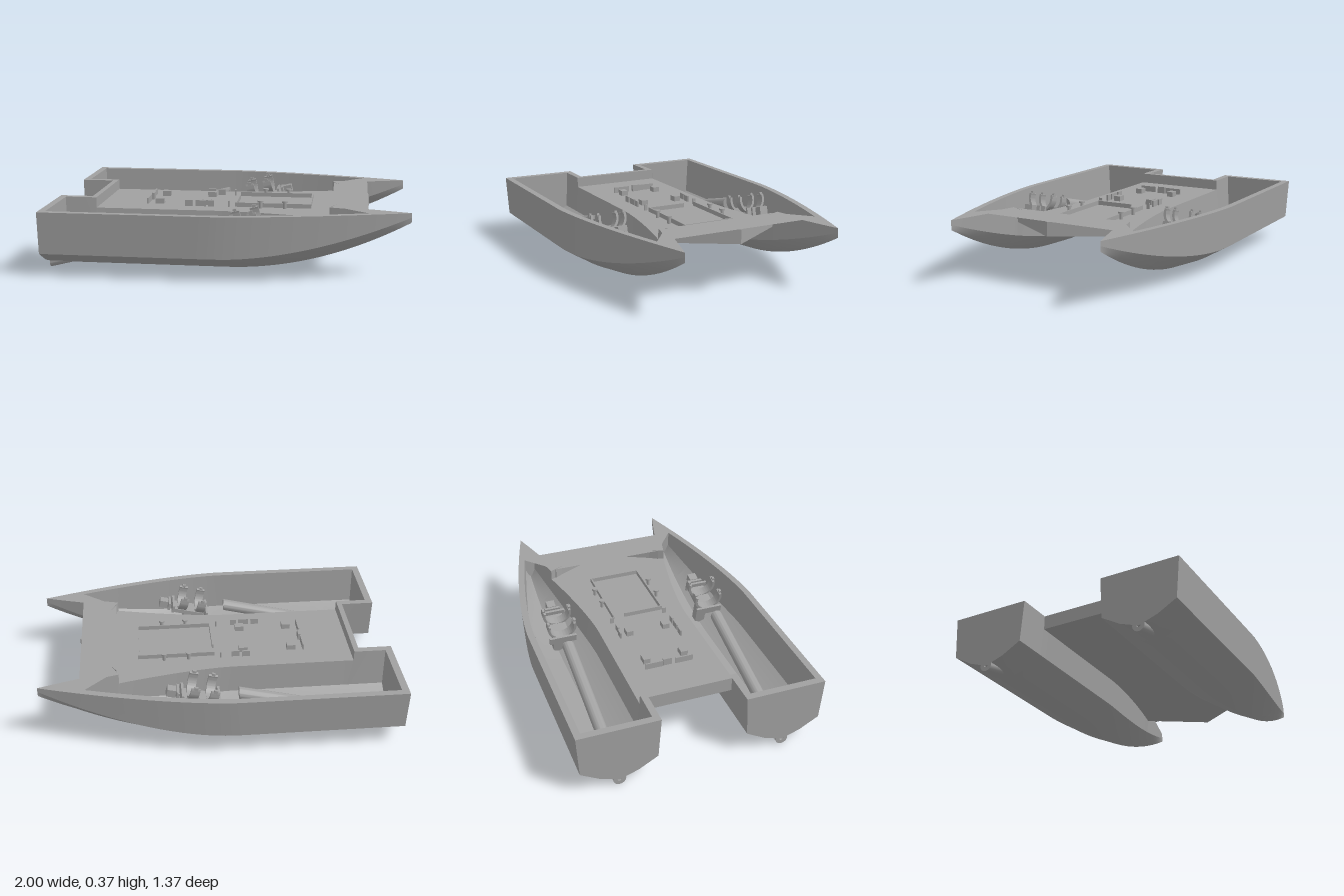
import * as THREE from 'three';
import { toCreasedNormals } from 'three/addons/utils/BufferGeometryUtils.js';

const TOP = 0.365, FLOOR = 0.305, UNDER = 0.285, AXIS = 0.46, SLOPE = 0.25;
const grey = new THREE.MeshStandardMaterial({ color: 0xa0a0a0, side: THREE.DoubleSide });
grey.name = 'hull grey';

// half beam of one hull at deck level, outside and inside its wall
const outerHalf = x => 0.225 * (1 - Math.pow(Math.max(0, (x + 0.08) / 1.08), 1.5));
const innerHalf = x => outerHalf(x) - 0.037;
const OUTER = { half: outerHalf, stern: -1, tip: 1, rear: -0.81, notch: 0.57, nose: 0.78, low: UNDER, lift: 0 };
const INNER = { half: innerHalf, stern: -0.96, tip: 0.77, rear: -0.78, notch: 0.56, nose: 0.74, low: FLOOR, lift: 0.025 };

function add(parent, name, geometry, x = 0, y = 0, z = 0) {
  const mesh = new THREE.Mesh(geometry, grey);
  mesh.name = name;
  mesh.position.set(x, y, z);
  parent.add(mesh);
  return mesh;
}

function range(a, b, n) {
  return Array.from({ length: n + 1 }, (_, i) => a + (b - a) * i / n);
}

// cross-section from outboard deck edge, under the keel, to inboard deck edge
function section(k, x, low, side) {
  const t = Math.max(0, x);
  const w = k.half(x), c = w * 0.935;
  const keel = 0.032 + 0.28 * t * t + k.lift;
  const chine = Math.max(keel, 0.13 + 0.21 * Math.pow(t, 1.8) + k.lift * 0.5);
  const mid = (keel + chine) / 2 - 0.12 * (chine - keel);
  return [[w, TOP], [c, chine], [c / 2, mid], [0, keel], [-c / 2, mid], [-c, chine], [-w, low ? k.low : TOP]]
    .map(([z, y]) => new THREE.Vector3(x, y, side * (AXIS + z)));
}

// surface through rows of points, smooth within itself
function loft(rows) {
  const n = rows[0].length, index = [];
  for (let i = 0; i < rows.length - 1; i++) {
    for (let j = 0; j < n - 1; j++) {
      const a = i * n + j, b = a + n;
      index.push(a, b, a + 1, b, b + 1, a + 1);
    }
  }
  const g = new THREE.BufferGeometry().setFromPoints(rows.flat());
  g.setIndex(index);
  g.computeVertexNormals();
  return g;
}

function buildShell(parent, k, side, label) {
  const stations = [
    ...range(k.stern, k.rear, 2).map(x => [x, false]),
    ...range(k.rear, k.notch, 24).map(x => [x, true]),
    ...range(k.notch, k.tip, 14).map(x => [x, false])];
  const rows = stations.map(([x, low]) => section(k, x, low, side));
  const strips = [['OutboardSide', 0, 2], ['OutboardBottom', 1, 4], ['InboardBottom', 3, 6], ['InboardSide', 5, 7]];
  for (const [name, a, b] of strips) add(parent, label + name, loft(rows.map(r => r.slice(a, b))));
  // flat bulkheads closing both ends
  for (const [name, row] of [['Transom', rows[0]], ['BowBulkhead', rows[rows.length - 1]]]) {
    const shape = new THREE.Shape(row.map(p => new THREE.Vector2(-p.z, p.y)));
    add(parent, label + name, new THREE.ShapeGeometry(shape).rotateY(Math.PI / 2), row[0].x);
  }
}

// half of the deck outline (z > 0), from stern notch to nose
function outline(k) {
  const v = (x, z) => new THREE.Vector2(x, z);
  const half = [
    v(k.rear, AXIS - k.half(k.rear)), v(k.stern, AXIS - k.half(k.stern)), v(k.stern, AXIS + k.half(k.stern)),
    ...range(-0.08, k.tip, 24).map(x => v(x, AXIS + k.half(x))),
    ...range(k.tip, k.notch, 10).slice(k.tip === 1 ? 1 : 0).map(x => v(x, AXIS - k.half(x))),
    v(k.nose, 0)];
  return [...half, ...half.slice(0, -1).reverse().map(p => v(p.x, -p.y))];
}

// bridge plate between the two hulls
function bridgePlate(k) {
  const edge = range(k.rear, k.notch, 24).map(x => new THREE.Vector2(x, AXIS - k.half(x)));
  const mirror = edge.map(p => new THREE.Vector2(p.x, -p.y)).reverse();
  return new THREE.ShapeGeometry(new THREE.Shape([...edge, new THREE.Vector2(k.nose, 0), ...mirror]))
    .rotateX(Math.PI / 2);
}

function buildBridge(parent, k, label) {
  add(parent, label + 'Plate', bridgePlate(k), 0, k.low, 0);
  const zr = AXIS - k.half(k.rear), zn = AXIS - k.half(k.notch);
  const walls = [['RearWall', k.rear, -zr, k.rear, zr], ['FrontWallLeft', k.notch, zn, k.nose, 0],
    ['FrontWallRight', k.nose, 0, k.notch, -zn]];
  for (const [name, x0, z0, x1, z1] of walls) {
    add(parent, label + name, loft([k.low, TOP].map(y =>
      [new THREE.Vector3(x0, y, z0), new THREE.Vector3(x1, y, z1)])));
  }
}

// sloping shaft tube with ends cut upright
function shaftTube() {
  const shape = new THREE.Shape().absarc(0, 0, 0.035, 0, Math.PI * 2);
  shape.holes.push(new THREE.Path().absarc(0, 0, 0.012, 0, Math.PI * 2, true));
  const g = new THREE.ExtrudeGeometry(shape, { depth: 0.9, bevelEnabled: false, curveSegments: 16 });
  g.rotateY(Math.PI / 2);
  const p = g.attributes.position;
  for (let i = 0; i < p.count; i++) p.setY(i, p.getY(i) + p.getX(i) * SLOPE);
  return toCreasedNormals(g, 0.6);
}

// upward-opening clamp band
function cradle() {
  const shape = new THREE.Shape();
  shape.absarc(0, 0, 0.085, -Math.PI - 0.3, 0.3, false);
  shape.absarc(0, 0, 0.071, 0.3, -Math.PI - 0.3, true);
  const g = new THREE.ExtrudeGeometry(shape, { depth: 0.05, bevelEnabled: false, curveSegments: 20 });
  return toCreasedNormals(g.translate(0, 0, -0.025).rotateY(Math.PI / 2), 0.6);
}

function buildMotorMount(parent, z) {
  const mount = new THREE.Group();
  mount.name = 'motorMount';
  mount.position.set(0.1, 0.325, z);
  mount.rotation.z = Math.atan(SLOPE);
  parent.add(mount);
  for (const x of [-0.06, 0.05]) {
    add(mount, 'cradle', cradle(), x);
    for (const s of [-1, 1]) add(mount, 'clampTab', new THREE.BoxGeometry(0.02, 0.02, 0.014), x, 0.025, s * 0.078);
  }
  add(mount, 'spine', new THREE.BoxGeometry(0.2, 0.025, 0.1), 0.01, -0.085);
  add(mount, 'foot', new THREE.BoxGeometry(0.05, 0.19, 0.06), 0, -0.17);
  for (const [x, w] of [[-0.105, 0.16], [0.105, 0.13], [0.13, 0.09], [0.165, 0.05]]) {
    add(mount, 'flange', new THREE.BoxGeometry(w < 0.06 ? 0.05 : 0.014, 0.045, w), x, -0.07);
  }
}

// trays, posts and brackets standing on the bridge floor: [x, z, length, width, height]
const fittings = {
  trayWall: [[0.23, -0.15, 0.44, 0.008, 0.025], [0.23, 0.15, 0.44, 0.008, 0.025],
    [0.446, 0, 0.008, 0.3, 0.025], [0.014, 0.035, 0.008, 0.23, 0.025]],
  mountBlock: [[-0.44, -0.115, 0.05, 0.04, 0.03], [-0.44, 0.105, 0.05, 0.04, 0.03],
    [-0.16, -0.115, 0.05, 0.04, 0.03], [-0.16, 0.105, 0.05, 0.04, 0.03]],
  bracket: [[-0.51, -0.09, 0.008, 0.1, 0.035], [-0.51, 0.085, 0.008, 0.1, 0.035], [-0.503, -0.013, 0.015, 0.05, 0.04],
    [-0.17, -0.172, 0.045, 0.01, 0.035], [-0.11, -0.167, 0.045, 0.01, 0.035],
    [-0.26, 0.16, 0.045, 0.01, 0.035], [-0.19, 0.16, 0.06, 0.008, 0.035], [-0.13, 0.16, 0.035, 0.01, 0.035],
    [-0.025, -0.17, 0.008, 0.02, 0.035], [-0.025, 0.155, 0.008, 0.02, 0.035]],
};

export function createModel() {
  const model = new THREE.Group();
  model.name = 'catamaranHull';

  for (const side of [1, -1]) {
    const hull = new THREE.Group();
    hull.name = side > 0 ? 'leftHull' : 'rightHull';
    model.add(hull);
    buildShell(hull, OUTER, side, 'outer');
    buildShell(hull, INNER, side, 'inner');
    add(hull, 'shaftTube', shaftTube(), -1, 0.036, side * AXIS);
    buildMotorMount(hull, side * AXIS);
  }

  // flat rim capping the walls
  const rim = new THREE.Shape(outline(OUTER));
  rim.holes.push(new THREE.Path(outline(INNER)));
  add(model, 'rim', new THREE.ShapeGeometry(rim).rotateX(Math.PI / 2), 0, TOP, 0);

  buildBridge(model, OUTER, 'bridgeUnderside');
  buildBridge(model, INNER, 'bridgeFloor');

  for (const [name, list] of Object.entries(fittings)) {
    for (const [x, z, l, w, h] of list) add(model, name, new THREE.BoxGeometry(l, h, w), x, FLOOR + h / 2, z);
  }
  for (const x of [0.16, 0.3]) for (const z of [-0.173, 0.173]) {
    add(model, 'postStem', new THREE.CylinderGeometry(0.01, 0.01, 0.035, 12), x, FLOOR + 0.0175, z);
    add(model, 'postHead', new THREE.CylinderGeometry(0.017, 0.017, 0.01, 16), x, FLOOR + 0.04, z);
  }
  return model;
}
